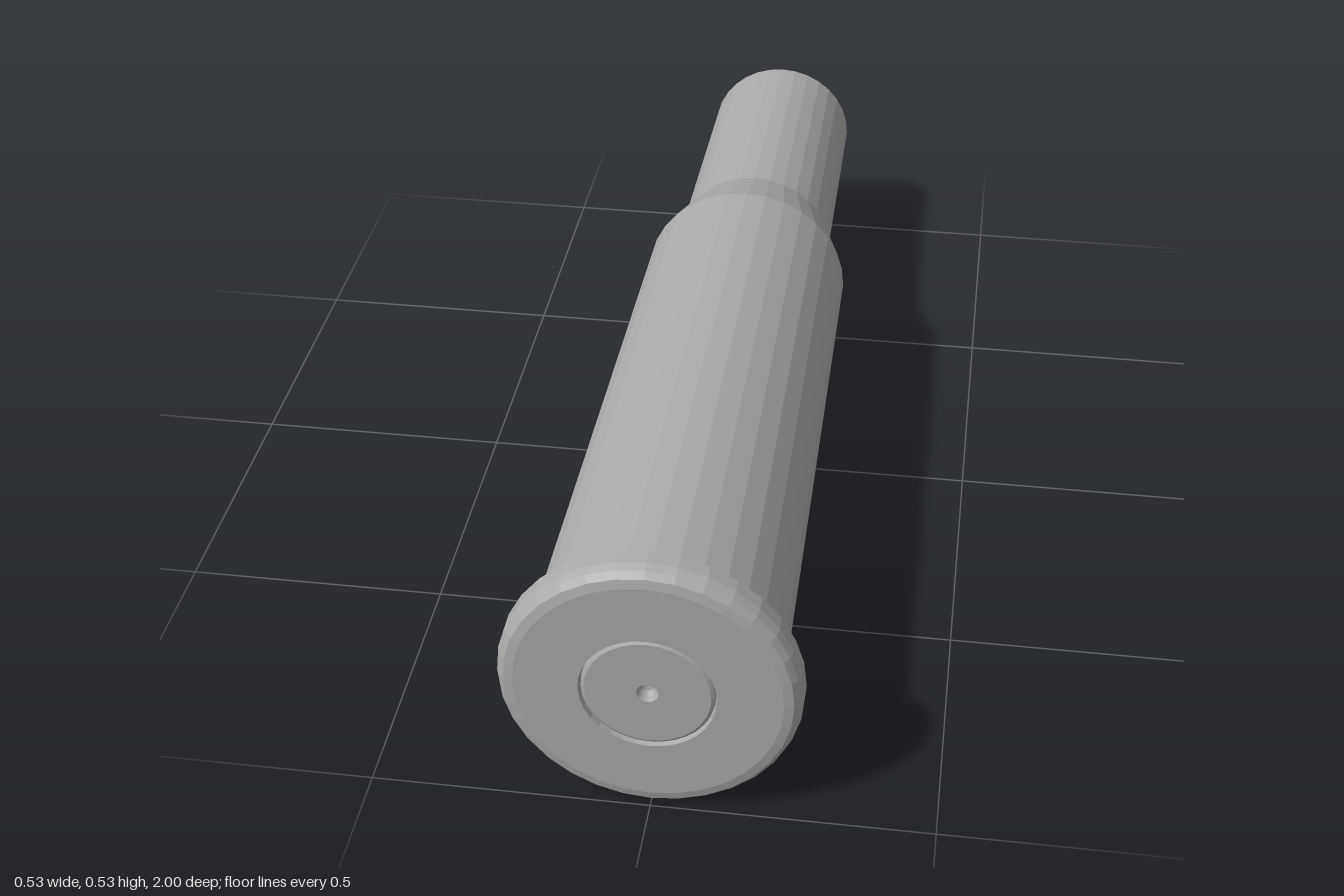
import * as THREE from 'three';

const SIDES = 32;
const RADIUS = 0.264;

export function createModel() {
  const model = new THREE.Group();
  model.name = 'cartridgeCase';

  const metal = new THREE.MeshStandardMaterial({
    color: 0xaaaaaa, flatShading: true, side: THREE.DoubleSide,
  });
  metal.name = 'grey metal';

  // Turns a [radius, z] profile, listed from back to front, around the long axis
  function turned(name, profile) {
    const points = profile.map(([r, z]) => new THREE.Vector2(r, z));
    const geometry = new THREE.LatheGeometry(points, SIDES);
    geometry.rotateX(Math.PI / 2);
    const mesh = new THREE.Mesh(geometry, metal);
    mesh.name = name;
    mesh.position.y = RADIUS;
    model.add(mesh);
  }

  // Open, thin-walled tube: neck, shoulder and slightly tapered body
  turned('neck', [[0.159, -1], [0.165, -0.465]]);
  turned('shoulder', [[0.165, -0.465], [0.212, -0.315]]);
  turned('body', [[0.212, -0.315], [0.225, 0.943]]);

  // Rim with a rounded front edge, flat head and primer pocket
  turned('rim', [
    [0.225, 0.943], [RADIUS, 0.943], [RADIUS, 0.97], [0.259, 0.985],
    [0.249, 0.996], [0.232, 1], [0.119, 1], [0.116, 0.986],
  ]);

  // Primer with a chamfered edge and a small rounded dent
  turned('primer', [
    [0.116, 0.986], [0.115, 0.993], [0.109, 0.997], [0.019, 0.997],
  ]);
  turned('primerDent', [
    [0.019, 0.997], [0.016, 0.987], [0.009, 0.98], [0, 0.978],
  ]);

  return model;
}
